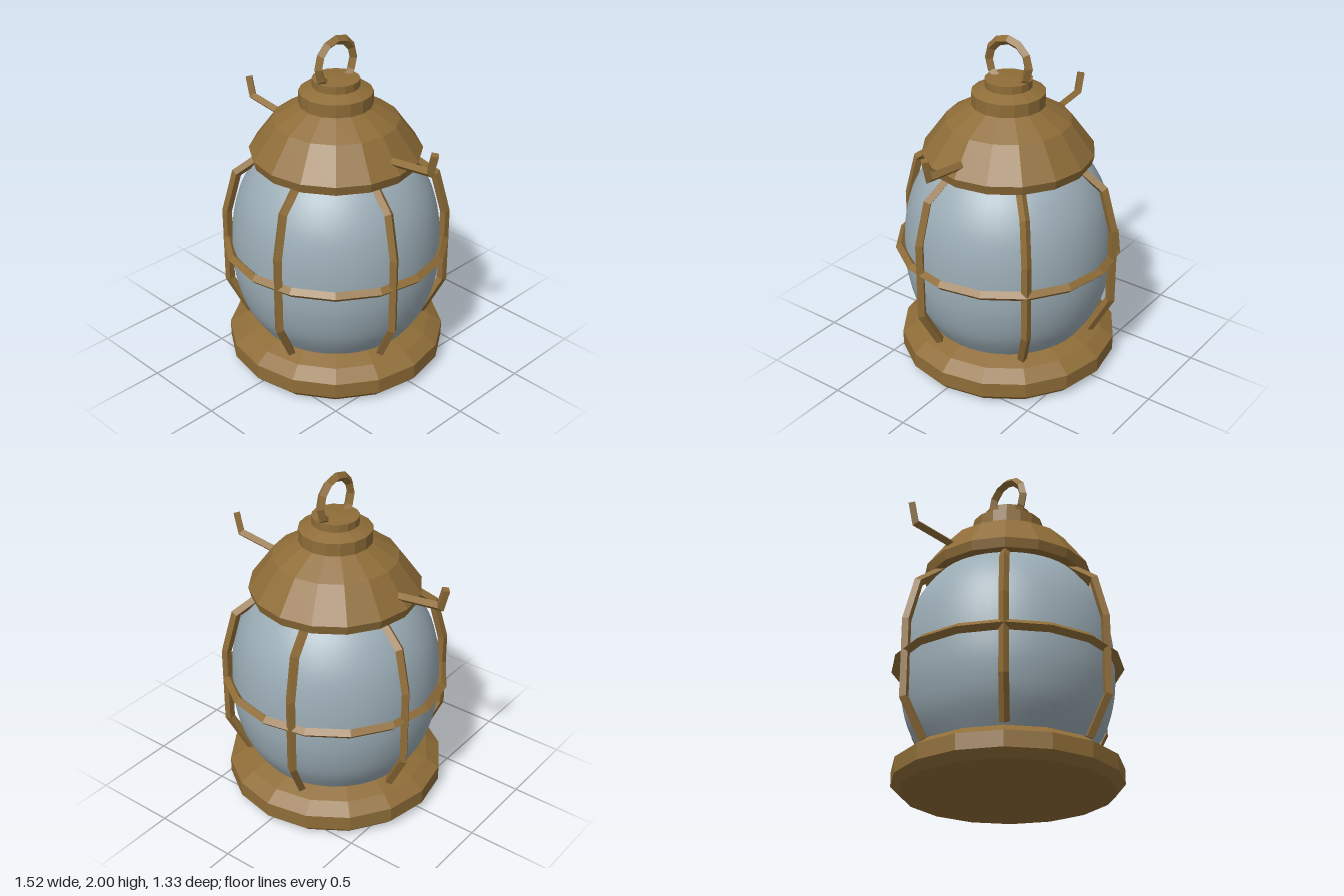
import * as THREE from 'three';

const brass = new THREE.MeshStandardMaterial({ color: 0x8f6d38 });
brass.name = 'aged brass';
const glass = new THREE.MeshStandardMaterial({ color: 0x9bacb5 });
glass.name = 'frosted glass';

const v2 = (pts) => pts.map(([x, y]) => new THREE.Vector2(x, y));

// Gives every face its own normal
function faceted(geo) {
  const g = geo.index ? geo.toNonIndexed() : geo;
  g.computeVertexNormals();
  return g;
}

function add(parent, name, geo, mat) {
  const mesh = new THREE.Mesh(geo, mat);
  mesh.name = name;
  parent.add(mesh);
  return mesh;
}

// Sweeps a diamond section along a path in the xy plane, with mitred bends
function diamondBar(path, r) {
  const p = v2(path), pos = [], idx = [];
  p.forEach((pt, i) => {
    const a = pt.clone().sub(p[Math.max(i - 1, 0)]).normalize();
    const b = p[Math.min(i + 1, p.length - 1)].clone().sub(pt).normalize();
    const t = a.clone().add(b).normalize();
    const ref = i === 0 ? b : a;
    const m = r / Math.max(t.dot(ref), 0.5);
    const nx = -t.y * m, ny = t.x * m;
    pos.push(pt.x + nx, pt.y + ny, 0, pt.x, pt.y, r, pt.x - nx, pt.y - ny, 0, pt.x, pt.y, -r);
  });
  for (let i = 0; i < p.length - 1; i++) {
    for (let k = 0; k < 4; k++) {
      const a = i * 4 + k, b = i * 4 + (k + 1) % 4;
      idx.push(a, b, a + 4, b, b + 4, a + 4);
    }
  }
  const e = (p.length - 1) * 4;
  idx.push(0, 2, 1, 0, 3, 2, e, e + 1, e + 2, e, e + 2, e + 3);
  const g = new THREE.BufferGeometry();
  g.setAttribute('position', new THREE.Float32BufferAttribute(pos, 3));
  g.setIndex(idx);
  return faceted(g);
}

export function createModel() {
  const lantern = new THREE.Group();
  lantern.name = 'lantern';

  // Turned base
  add(lantern, 'base', faceted(new THREE.LatheGeometry(v2([
    [0, 0], [0.6, 0], [0.645, 0.045], [0.645, 0.135], [0.565, 0.19], [0.47, 0.225], [0, 0.225],
  ]), 16)), brass);

  // Smooth glass globe
  const curve = new THREE.SplineCurve(v2([
    [0.45, 0.2], [0.55, 0.36], [0.6, 0.54], [0.61, 0.7], [0.6, 0.88], [0.56, 1.05], [0.48, 1.2], [0.38, 1.31],
  ]));
  add(lantern, 'globe', new THREE.LatheGeometry(curve.getPoints(24), 48), glass);

  // Cap with neck and knob
  add(lantern, 'cap', faceted(new THREE.LatheGeometry(v2([
    [0, 1.27], [0.48, 1.27], [0.495, 1.325], [0.36, 1.51], [0.21, 1.6], [0.21, 1.675],
    [0.135, 1.705], [0.135, 1.75], [0, 1.76],
  ]), 16)), brass);

  // Carrying ring on top
  const ring = add(lantern, 'carryingRing', faceted(new THREE.TorusGeometry(0.135, 0.028, 4, 12)), brass);
  ring.position.y = 1.837;
  ring.rotation.y = Math.PI / 2;

  // Horizontal hoop around the globe
  const hoop = add(lantern, 'hoop', faceted(new THREE.TorusGeometry(0.635, 0.03, 4, 16)), brass);
  hoop.position.y = 0.725;
  hoop.rotation.x = Math.PI / 2;

  // Six bent guard bars
  const barGeo = diamondBar([
    [0.515, 0.225], [0.635, 0.45], [0.635, 0.91], [0.57, 1.16], [0.4, 1.285],
  ], 0.028);
  const bars = new THREE.Group();
  bars.name = 'guardBars';
  lantern.add(bars);
  for (let i = 0; i < 6; i++) {
    const bar = add(bars, 'guardBar', barGeo, brass);
    bar.rotation.y = THREE.MathUtils.degToRad(15 + i * 60 - 90);
  }

  // Side hooks
  const hookGeo = diamondBar([[0.43, 1.385], [0.705, 1.42], [0.735, 1.535]], 0.026);
  add(lantern, 'leftHook', hookGeo, brass);
  add(lantern, 'rightHook', hookGeo, brass).rotation.y = Math.PI;

  return lantern;
}
